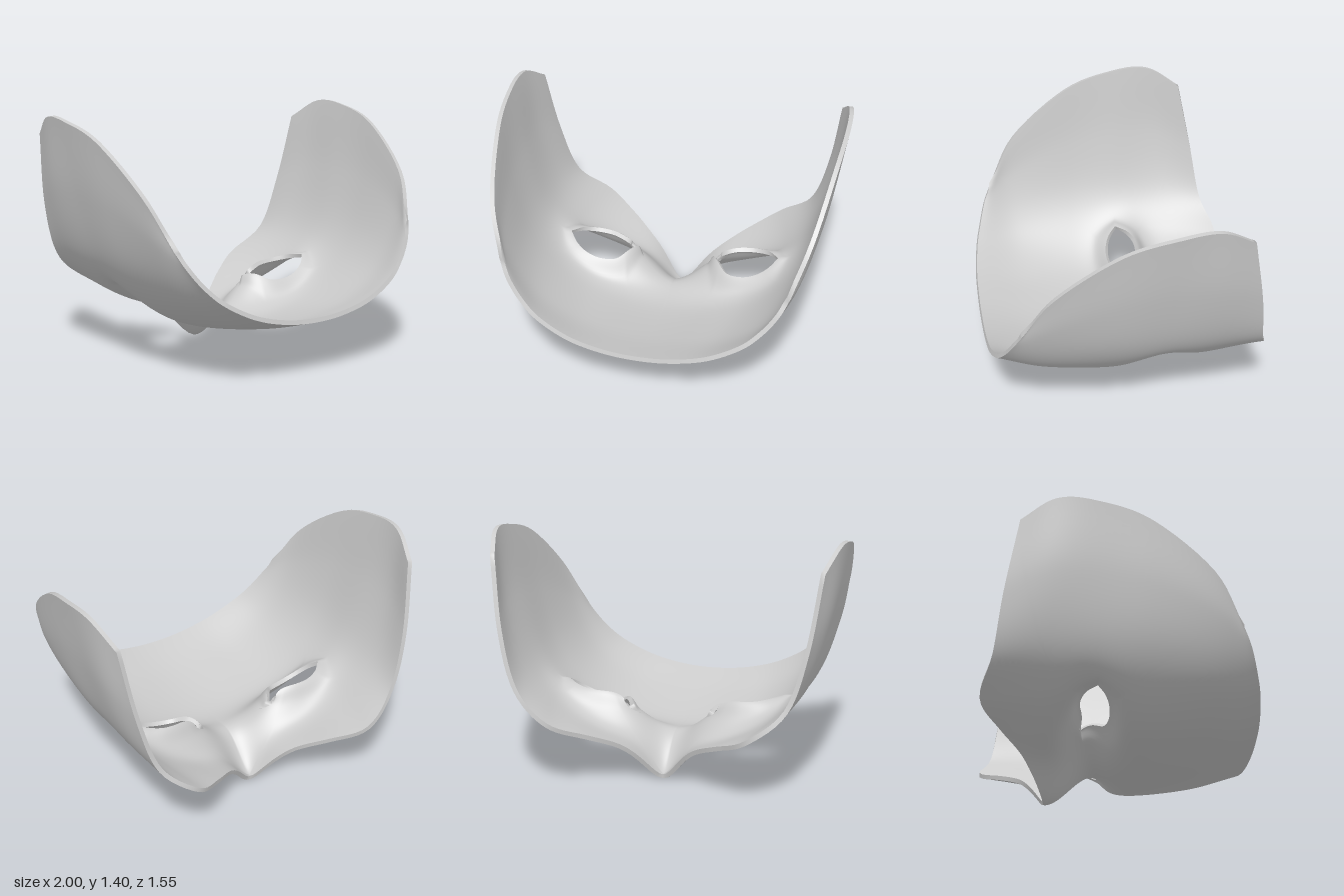
import * as THREE from 'three';
import { mergeVertices } from 'three/addons/utils/BufferGeometryUtils.js';

const V = (x, y, z) => new THREE.Vector3(x, y, z);

// Cross-sections of one half, centre line to side edge, from forehead to nose
const ROWS = [
  [[0, .305, .77], [.2, .32, .768], [.4, .37, .76], [.58, .46, .735], [.69, .555, .70], [.77, .66, .66], [.82, .76, .61]],
  [[0, .22, .47], [.22, .24, .47], [.44, .29, .47], [.64, .41, .47], [.77, .57, .47], [.86, .79, .47], [.91, 1.03, .45]],
  [[0, .16, .12], [.24, .185, .12], [.49, .26, .12], [.69, .41, .12], [.83, .62, .12], [.92, .93, .12], [.975, 1.29, .11]],
  [[0, .175, -.11], [.23, .2, -.13], [.47, .27, -.15], [.69, .42, -.16], [.83, .62, -.17], [.93, .97, -.18], [.998, 1.38, -.19]],
  [[0, .19, -.27], [.22, .2, -.34], [.44, .275, -.43], [.65, .405, -.48], [.82, .61, -.47], [.93, .97, -.44], [.985, 1.39, -.41]],
  [[0, .2, -.41], [.19, .215, -.52], [.38, .29, -.67], [.57, .38, -.78], [.77, .55, -.72], [.87, .87, -.675], [.93, 1.28, -.6]],
].map(row => {
  const pts = row.map(p => V(...p));
  const mirrored = pts[1].clone();
  mirrored.x *= -1;
  return new THREE.CatmullRomCurve3([mirrored, ...pts], false, 'catmullrom', .5);
});

// Smooth shell through the sections: s runs outwards, v runs forehead to nose
function shell(s, v) {
  const across = ROWS.map(r => r.getPoint((1 + 6 * s) / 7));
  return new THREE.CatmullRomCurve3(across, false, 'catmullrom', .5).getPoint(v);
}

// Finds the shell parameters above a plan position
function locate(x, z) {
  let s = .33, v = .6;
  for (let i = 0; i < 30; i++) {
    const p = shell(s, v);
    s += (x - p.x) * .5;
    v -= (z - p.z) * .5;
  }
  return [s, v];
}

// Nose, eye socket and lid relief
function sculpt(p, lid) {
  const x = p.x, z = p.z;
  p.y -= .2 * THREE.MathUtils.smoothstep(-z, .1, .41) * Math.exp(-((x / .14) ** 2));
  const depth = z > -.2 ? .13 : .12;
  p.y += .16 * Math.exp(-(((x - .37) / .24) ** 2) - ((z + .2) / depth) ** 2);
  p.y += .03 * lid;
  return p;
}

// Eye opening: brow side and cheek side, both from inner to outer corner
const lidCurve = pts => new THREE.CatmullRomCurve3(pts.map(([x, z]) => V(x, 0, z)));
const BROW = lidCurve([[.25, -.22], [.28, -.17], [.34, -.105], [.44, -.08], [.54, -.085], [.6, -.11], [.645, -.155]]);
const CHEEK = lidCurve([[.25, -.22], [.32, -.218], [.42, -.235], [.5, -.235], [.58, -.21], [.645, -.155]]);

// Matching outer path in shell parameters, centre line to edge to side
function borderPath(end, n) {
  const out = [];
  const corners = [[0, .6], [0, end], [1, end], [1, .6]];
  const counts = [n, 2 * n, n];
  counts.forEach((c, k) => {
    for (let i = 0; i < c; i++) {
      const f = i / c, a = corners[k], b = corners[k + 1];
      out.push([a[0] + (b[0] - a[0]) * f, a[1] + (b[1] - a[1]) * f]);
    }
  });
  out.push(corners[3]);
  return out;
}

// Outer skin: rings from the eye opening to the border, mirrored and welded
function outerSkin() {
  const N = 18, RINGS = 34;
  const makeRays = (lid, end) => borderPath(end, N).map((to, i, all) => {
    const e = lid.getPoint(i / (all.length - 1));
    return { from: locate(e.x, e.z), to };
  });
  const brow = makeRays(BROW, 0), cheek = makeRays(CHEEK, 1);
  const rays = [...brow, ...cheek.reverse().slice(1, -1)];
  const M = rays.length, pos = [], idx = [];
  for (const side of [1, -1]) {
    const base = pos.length / 3;
    for (let i = 0; i <= RINGS; i++) {
      const k = (i / RINGS) ** 1.3;
      const lid = Math.exp(-((k / .07) ** 2));
      for (const { from, to } of rays) {
        const p = sculpt(shell(from[0] + (to[0] - from[0]) * k, from[1] + (to[1] - from[1]) * k), lid);
        pos.push(Math.abs(p.x) < 1e-4 ? 0 : side * p.x, p.y, p.z);
      }
    }
    for (let i = 0; i < RINGS; i++) for (let j = 0; j < M; j++) {
      const a = base + i * M + j, d = base + i * M + (j + 1) % M, b = a + M, c = d + M;
      if (side > 0) idx.push(a, c, b, a, d, c);
      else idx.push(a, b, c, a, c, d);
    }
  }
  const g = new THREE.BufferGeometry();
  g.setAttribute('position', new THREE.Float32BufferAttribute(pos, 3));
  g.setIndex(idx);
  const welded = mergeVertices(g, 1e-5);
  welded.computeBoundingBox();
  const { min, max } = welded.boundingBox;
  welded.translate(0, -min.y, -(min.z + max.z) / 2);
  welded.computeVertexNormals();
  return welded;
}

// Inner skin: outer skin moved inwards and turned over
function innerSkin(outer, thickness) {
  const g = outer.clone();
  const p = g.attributes.position, n = outer.attributes.normal;
  for (let i = 0; i < p.count; i++) {
    p.setXYZ(i, p.getX(i) - n.getX(i) * thickness, p.getY(i) - n.getY(i) * thickness, p.getZ(i) - n.getZ(i) * thickness);
  }
  const ix = Array.from(outer.index.array);
  for (let i = 0; i < ix.length; i += 3) [ix[i + 1], ix[i + 2]] = [ix[i + 2], ix[i + 1]];
  g.setIndex(ix);
  g.computeVertexNormals();
  return g;
}

// Edge walls: join both skins wherever a triangle edge has no neighbour
function edgeWalls(outer, inner) {
  const ix = outer.index.array, edges = new Set(), pos = [];
  const each = f => {
    for (let i = 0; i < ix.length; i += 3) for (let k = 0; k < 3; k++) f(ix[i + k], ix[i + (k + 1) % 3]);
  };
  const put = (g, i) => {
    const p = g.attributes.position;
    pos.push(p.getX(i), p.getY(i), p.getZ(i));
  };
  each((a, b) => edges.add(a + '_' + b));
  each((a, b) => {
    if (edges.has(b + '_' + a)) return;
    put(outer, b); put(outer, a); put(inner, a);
    put(outer, b); put(inner, a); put(inner, b);
  });
  const g = new THREE.BufferGeometry();
  g.setAttribute('position', new THREE.Float32BufferAttribute(pos, 3));
  const welded = mergeVertices(g, 1e-5);
  welded.computeVertexNormals();
  return welded;
}

export function createModel() {
  const group = new THREE.Group();
  group.name = 'mask';
  const material = new THREE.MeshStandardMaterial({ color: 0xcccccc, side: THREE.DoubleSide });
  const add = (name, geometry) => {
    const mesh = new THREE.Mesh(geometry, material);
    mesh.name = name;
    group.add(mesh);
  };
  const outer = outerSkin();
  const inner = innerSkin(outer, .025);
  add('outerFace', outer);
  add('innerFace', inner);
  add('rimAndEyeEdges', edgeWalls(outer, inner));
  return group;
}
